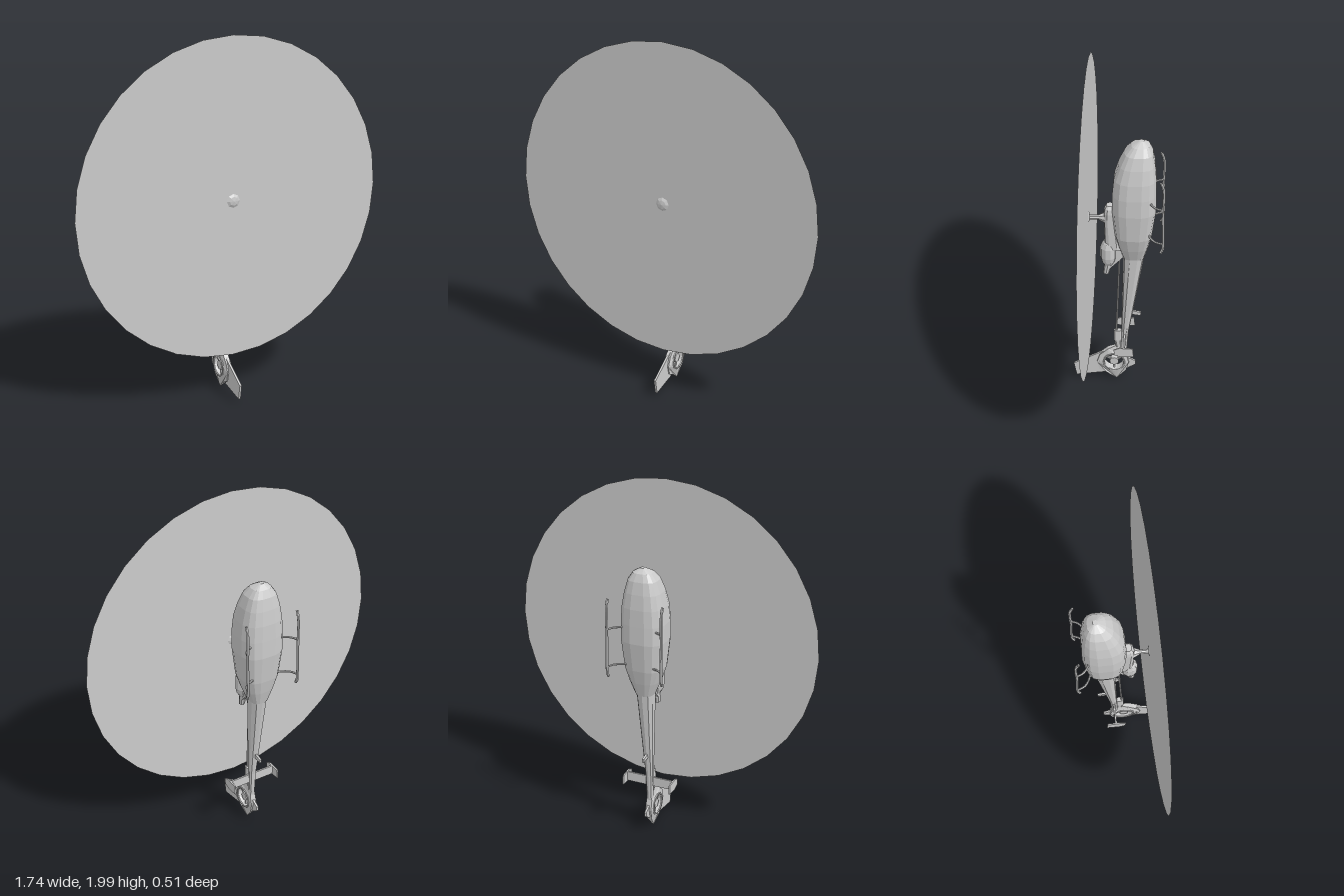
import * as THREE from 'three';

const mat = new THREE.MeshStandardMaterial({ color: 0xcccccc, flatShading: true, side: THREE.DoubleSide });
const V = (x, y, z) => new THREE.Vector3(x, y, z);

export function createModel() {
  const root = new THREE.Group();
  const add = (name, geo, pos = [0, 0, 0]) => {
    const m = new THREE.Mesh(geo, mat);
    m.name = name;
    m.position.set(...pos);
    root.add(m);
    return m;
  };

  // Loft along y; each station is [y, zTop, zBottom, halfWidth]
  const loft = (stations, sides = 16, p = 0.7) => {
    const pos = [], idx = [];
    const pw = v => Math.sign(v) * Math.abs(v) ** p;
    for (const [y, zt, zb, w] of stations)
      for (let i = 0; i < sides; i++) {
        const a = ((i + 0.5) / sides) * Math.PI * 2;
        pos.push(w * pw(Math.cos(a)), y, (zt + zb) / 2 + ((zt - zb) / 2) * pw(Math.sin(a)));
      }
    const n = stations.length;
    for (let s = 0; s < n - 1; s++)
      for (let i = 0; i < sides; i++) {
        const j = (i + 1) % sides, a = s * sides, b = a + sides;
        idx.push(a + i, b + i, a + j, b + i, b + j, a + j);
      }
    // end caps
    for (let i = 1; i < sides - 1; i++) {
      const t = (n - 1) * sides;
      idx.push(0, i, i + 1, t, t + i + 1, t + i);
    }
    const g = new THREE.BufferGeometry();
    g.setAttribute('position', new THREE.Float32BufferAttribute(pos, 3));
    g.setIndex(idx);
    g.computeVertexNormals();
    return g;
  };

  // Plate outlined in [z, y] and extruded along x
  const plate = (pts, thick, hole) => {
    const s = new THREE.Shape(pts.map(([z, y]) => new THREE.Vector2(z, y)));
    if (hole) s.holes.push(new THREE.Path().absarc(hole[0], hole[1], hole[2], 0, Math.PI * 2, true));
    return new THREE.ExtrudeGeometry(s, { depth: thick, bevelEnabled: false, curveSegments: 10 })
      .translate(0, 0, -thick / 2).rotateY(-Math.PI / 2);
  };

  const tube = (pts, r, seg = 8) =>
    new THREE.TubeGeometry(new THREE.CatmullRomCurve3(pts), seg, r, 6);

  // Cabin, nose pointing up
  add('fuselage', loft([
    [0.89, -0.035, -0.15, 0.048], [0.97, -0.01, -0.172, 0.08], [1.05, 0.01, -0.19, 0.105],
    [1.21, 0.026, -0.21, 0.122], [1.31, 0.024, -0.21, 0.122], [1.4, 0.015, -0.208, 0.115],
    [1.48, -0.01, -0.2, 0.1], [1.545, -0.04, -0.188, 0.08], [1.585, -0.075, -0.17, 0.052],
    [1.607, -0.115, -0.14, 0.014]], 16, 0.68));

  // Tail boom
  add('tailBoom', loft([
    [0.21, -0.02, -0.058, 0.018], [0.36, -0.025, -0.068, 0.022], [0.89, -0.035, -0.15, 0.048]], 10, 0.85));
  add('driveShaft', tube([V(0, 0.27, 0.006), V(0, 0.58, -0.005), V(0, 0.89, -0.015)], 0.006, 4));
  add('shaftFairing', loft([[0.25, 0.005, -0.03, 0.014], [0.3, 0.016, -0.03, 0.016], [0.37, 0.016, -0.03, 0.014]], 8));
  add('boomAntenna', plate([[-0.075, 0.515], [-0.137, 0.502], [-0.134, 0.48], [-0.075, 0.488]], 0.012));

  // Transmission pylon and engine
  add('pylon', loft([
    [0.94, 0.066, -0.03, 0.034], [1.17, 0.07, 0.0, 0.038], [1.2, 0.066, 0.0, 0.033], [1.217, 0.055, 0.01, 0.022]], 10, 0.7));
  add('engine', loft([
    [0.83, 0.068, 0.024, 0.022], [0.855, 0.083, 0.008, 0.036], [0.885, 0.091, 0.0, 0.043],
    [0.945, 0.091, 0.0, 0.043], [0.975, 0.08, 0.008, 0.035], [0.99, 0.07, 0.015, 0.026]], 10, 1));
  const exhaust = add('exhaust', new THREE.CylinderGeometry(0.022, 0.017, 0.08, 8, 1, true), [0, 0.81, 0.052]);
  exhaust.rotation.x = -0.18;
  add('engineMount', plate([[0.045, 0.8], [-0.035, 0.885], [-0.035, 0.95], [0.03, 0.95]], 0.03));

  // Mast, hub cap and rotor disc
  add('mast', new THREE.CylinderGeometry(0.013, 0.013, 0.11, 8).rotateX(Math.PI / 2), [0, 1.135, 0.1]);
  add('mastBase', new THREE.CylinderGeometry(0.016, 0.03, 0.03, 8).rotateX(Math.PI / 2), [0, 1.135, 0.08]);
  add('hubCap', new THREE.LatheGeometry([[0, -0.005], [0.02, -0.004], [0.038, 0.004], [0.024, 0.012], [0, 0.016]]
    .map(([r, y]) => new THREE.Vector2(r, y)), 8).rotateX(Math.PI / 2), [0, 1.135, 0.149]);
  add('rotorDisc', new THREE.CircleGeometry(0.87, 32), [0, 1.131, 0.15]);

  // Shrouded tail rotor: full thickness at the duct, thinning to the rim
  const cz = 0.015, cy = 0.145;
  const shroud = plate([
    [-0.06, 0.27], [-0.055, 0.2], [-0.07, 0.14], [-0.055, 0.08], [0.0, 0.01], [0.055, 0.055],
    [0.1, 0.08], [0.115, 0.135], [0.098, 0.19], [0.05, 0.235], [-0.02, 0.27]], 0.048, [cz, cy, 0.055]);
  const p = shroud.attributes.position;
  for (let i = 0; i < p.count; i++) {
    const r = Math.hypot(p.getZ(i) - cz, p.getY(i) - cy);
    p.setX(i, p.getX(i) * THREE.MathUtils.clamp(1 - (r - 0.06) / 0.09, 0.15, 1));
  }
  shroud.computeVertexNormals();
  add('tailShroud', shroud);
  for (const s of [-1, 1])
    add('ductLip', new THREE.TorusGeometry(0.059, 0.006, 6, 20).rotateY(Math.PI / 2), [s * 0.02, cy, cz]);
  add('tailRotorHub', new THREE.CylinderGeometry(0.026, 0.026, 0.03, 12).rotateZ(Math.PI / 2), [0, cy, cz]);
  for (let i = 0; i < 3; i++) {
    const a = -Math.PI / 2 + (i * Math.PI * 2) / 3;
    const spoke = add('tailRotorSpoke', new THREE.BoxGeometry(0.012, 0.01, 0.036),
      [0, cy + Math.sin(a) * 0.04, cz + Math.cos(a) * 0.04]);
    spoke.rotation.x = -a;
  }

  // Upper fin and lower bumper
  add('tailFin', plate([[0.25, 0.115], [0.235, 0.03], [0.07, 0.055], [0.105, 0.1], [0.1, 0.18], [0.05, 0.225], [0.09, 0.205]], 0.012));
  add('tailBumper', plate([[-0.05, 0.175], [-0.108, 0.145], [-0.108, 0.12], [-0.05, 0.08]], 0.012));

  // Stabilizer, end plates and skids
  add('stabilizer', new THREE.BoxGeometry(0.28, 0.055, 0.01), [0, 0.322, -0.045]);
  for (const s of [-1, 1]) {
    add('endPlate', plate([[0.012, 0.335], [-0.02, 0.35], [-0.095, 0.347], [-0.1, 0.293], [-0.03, 0.288], [0.008, 0.3]], 0.008),
      [s * 0.14, 0, 0]);
    add('skid', tube([V(s * 0.152, 1.02, -0.236), V(s * 0.153, 1.04, -0.246), V(s * 0.153, 1.25, -0.245),
      V(s * 0.153, 1.41, -0.245), V(s * 0.153, 1.45, -0.23)], 0.008, 20));
    for (const y of [1.075, 1.285])
      add('skidStrut', tube([V(s * 0.05, y, -0.165), V(s * 0.11, y, -0.187), V(s * 0.138, y, -0.21), V(s * 0.153, y, -0.245)], 0.006, 10));
  }
  return root;
}
